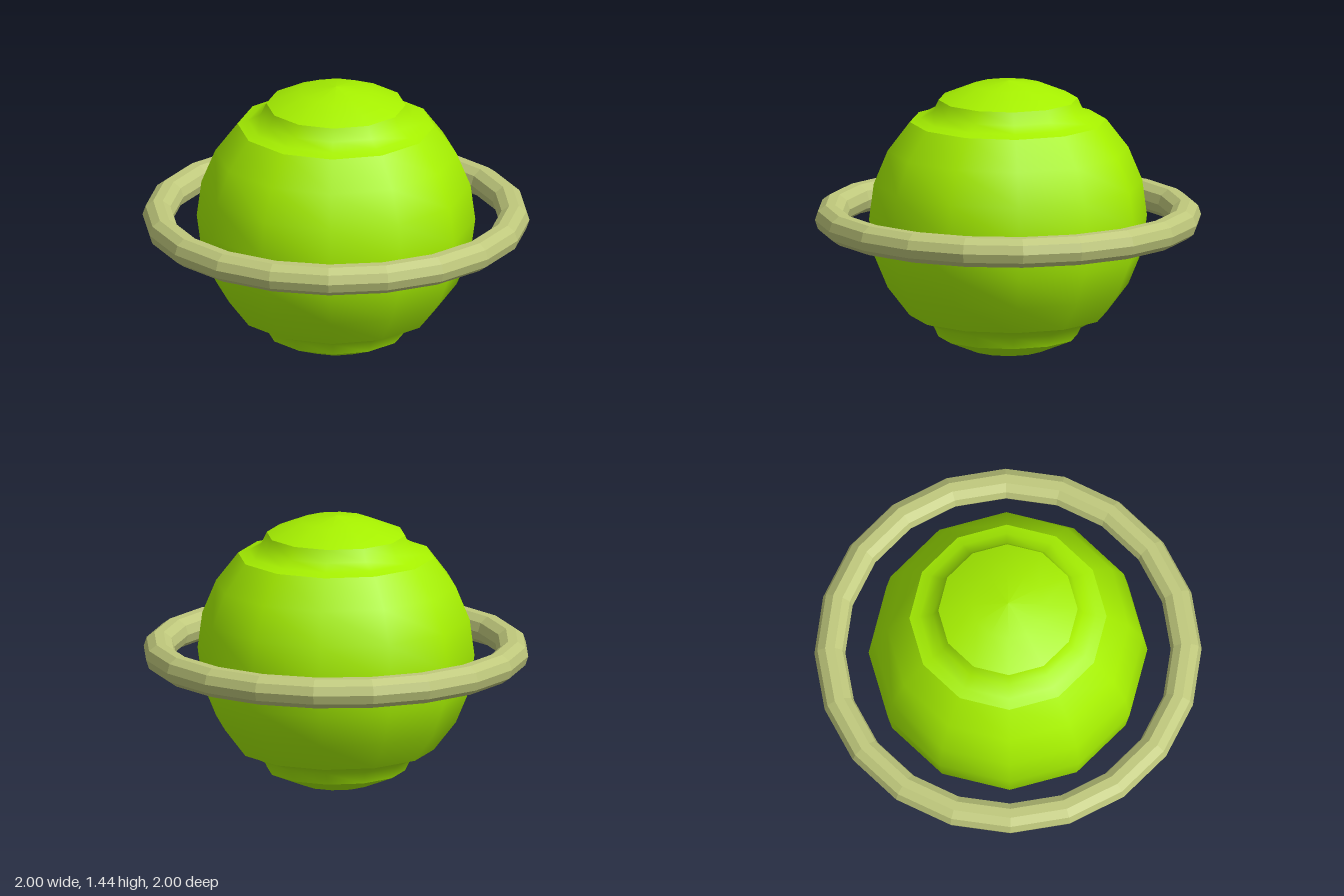
import * as THREE from 'three';

const R = 0.72, CENTER_Y = 0.724;

// Point on the globe profile at a latitude in degrees
function onGlobe(deg) {
  const a = THREE.MathUtils.degToRad(deg);
  return [R * Math.cos(a), R * Math.sin(a)];
}

// Twelve-sided turned part; points run from bottom to top
function turned(name, points, material) {
  const profile = points.map(([x, y]) => new THREE.Vector2(Math.max(x, 0), y));
  const mesh = new THREE.Mesh(new THREE.LatheGeometry(profile, 12), material);
  mesh.name = name;
  return mesh;
}

export function createModel() {
  const model = new THREE.Group();
  model.name = 'ringedPlanet';
  const green = new THREE.MeshStandardMaterial({ color: 0xa6f000 });
  const khaki = new THREE.MeshStandardMaterial({ color: 0xbfc87c, flatShading: true });

  const planet = new THREE.Group();
  planet.name = 'planet';
  planet.position.y = CENTER_Y;
  model.add(planet);

  // Wide middle of the globe
  planet.add(turned('globe', [-45, -30, -15, 0, 15, 30, 45].map(onGlobe), green));

  // Concave groove and polar cap, top and bottom
  const groove = [onGlobe(45), [0.455, 0.526], [0.39, 0.56], onGlobe(60)];
  const cap = [60, 75, 90].map(onGlobe);
  const flip = (points) => points.map(([x, y]) => [x, -y]).reverse();
  planet.add(
    turned('topGroove', groove, green),
    turned('topCap', cap, green),
    turned('bottomGroove', flip(groove), green),
    turned('bottomCap', flip(cap), green),
  );

  // Faceted ring around the equator
  const ring = new THREE.Mesh(new THREE.TorusGeometry(0.92, 0.08, 10, 20), khaki);
  ring.name = 'ring';
  ring.rotation.x = -Math.PI / 2;
  ring.position.y = CENTER_Y;
  model.add(ring);

  return model;
}
